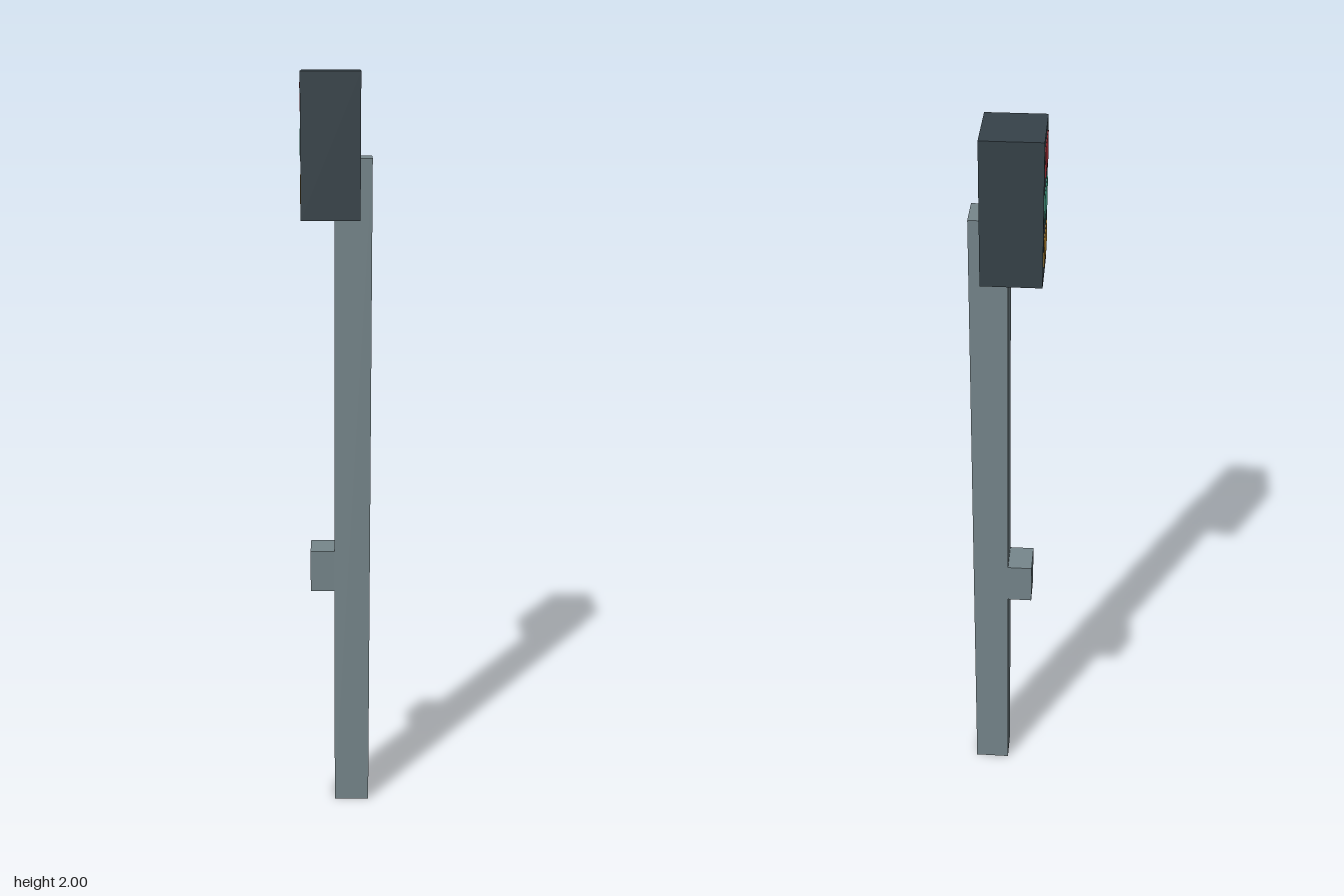
import * as THREE from 'three';

const material = (name, color) => {
  const m = new THREE.MeshStandardMaterial({ color });
  m.name = name;
  return m;
};

// Box given by its lower and upper corners
function box(name, mat, [x0, y0, z0], [x1, y1, z1]) {
  const mesh = new THREE.Mesh(new THREE.BoxGeometry(x1 - x0, y1 - y0, z1 - z0), mat);
  mesh.position.set((x0 + x1) / 2, (y0 + y1) / 2, (z0 + z1) / 2);
  mesh.name = name;
  return mesh;
}

export function createModel() {
  const group = new THREE.Group();
  group.name = 'trafficLight';

  const steel = material('greySteel', 0x77878c);
  const dark = material('darkHousing', 0x364249);

  // Square post, call box and signal housing
  group.add(
    box('post', steel, [-0.005, 0, -0.047], [0.09, 1.79, 0.047]),
    box('callBox', steel, [-0.07, 0.635, -0.045], [-0.005, 0.75, 0.045]),
    box('signalHousing', dark, [-0.089, 1.64, -0.085], [0.06, 2, 0.085])
  );

  // Three lamps as thin plates on the -x face
  const lamps = [
    ['redLamp', material('red', 0xd03a42)],
    ['greenLamp', material('green', 0x54c8a8)],
    ['amberLamp', material('amber', 0xd29a36)],
  ];
  lamps.forEach(([name, mat], i) => {
    const y = 1.938 - i * 0.112;
    group.add(box(name, mat, [-0.091, y - 0.035, -0.053], [-0.088, y + 0.035, 0.056]));
  });

  return group;
}
